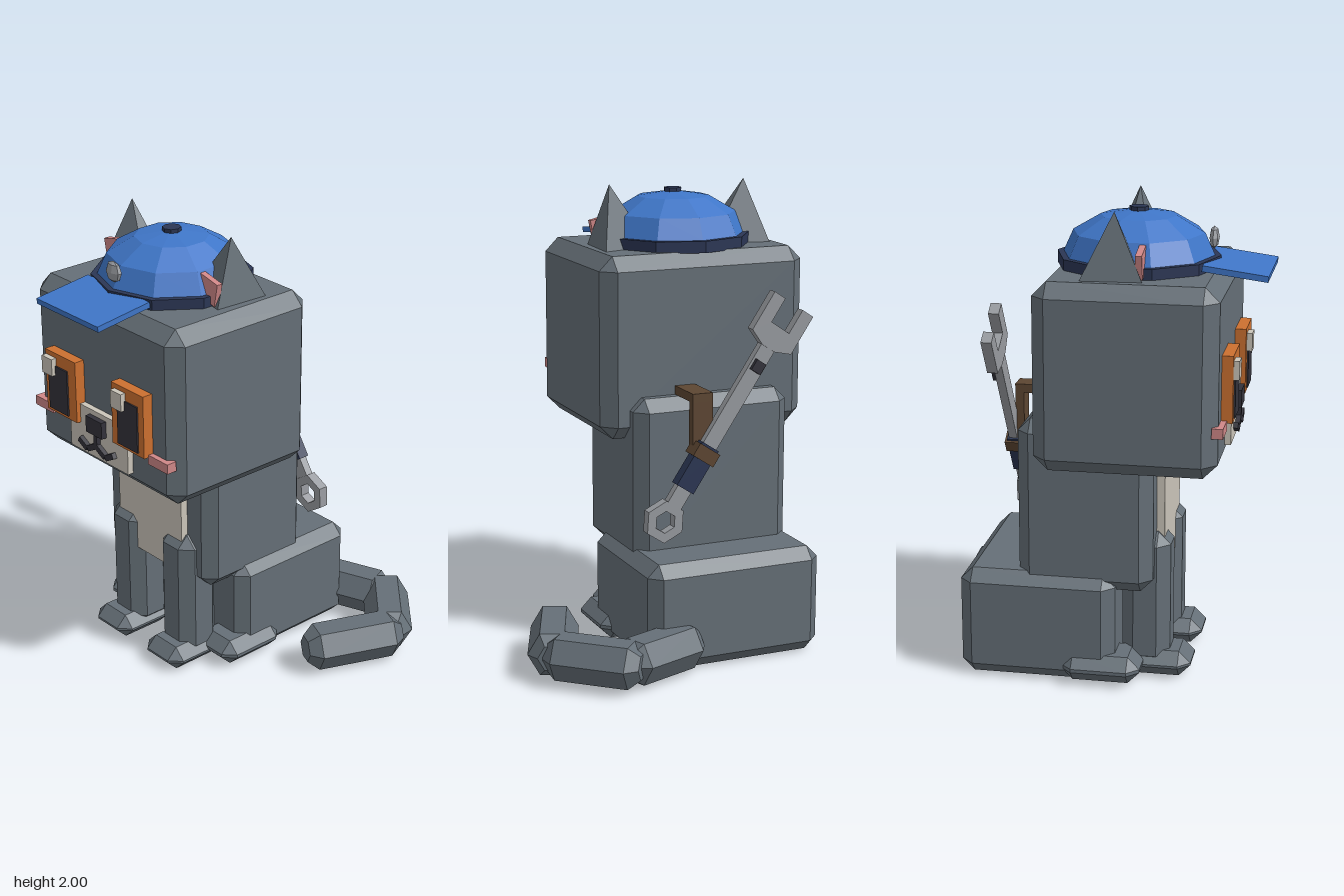
import * as THREE from 'three';
import { ConvexGeometry } from 'three/addons/geometries/ConvexGeometry.js';

const CX = -0.2; // the body's mirror plane

export function createModel() {
  const model = new THREE.Group();
  model.name = 'sittingCat';

  const mat = (name, color) => {
    const m = new THREE.MeshStandardMaterial({ color });
    m.name = name;
    return m;
  };
  const fur = mat('greyFur', 0x656f77);
  const cream = mat('cream', 0xcbc5ba);
  const orange = mat('orange', 0xcc7030);
  const dark = mat('nearBlack', 0x33323b);
  const pink = mat('pink', 0xcf8787);
  const blue = mat('capBlue', 0x3f76c8);
  const navy = mat('navy', 0x2b3654);
  const metal = mat('metal', 0x989ba0);
  const brown = mat('leather', 0x5d4632);

  const add = (name, geometry, material, parent = model) => {
    const mesh = new THREE.Mesh(geometry, material);
    mesh.name = name;
    parent.add(mesh);
    return mesh;
  };
  // Flat normals for low-poly round shapes
  const facet = (g) => {
    const f = g.index ? g.toNonIndexed() : g;
    f.computeVertexNormals();
    return f;
  };
  // Box given by its extents
  const block = (name, m, [x0, x1], [y0, y1], [z0, z1], parent) => {
    const mesh = add(name, new THREE.BoxGeometry(x1 - x0, y1 - y0, z1 - z0), m, parent);
    mesh.position.set((x0 + x1) / 2, (y0 + y1) / 2, (z0 + z1) / 2);
    return mesh;
  };
  // Box given by its extents, with every edge chamfered by c
  const chamferBlock = (name, m, [x0, x1], [y0, y1], [z0, z1], c) => {
    const h = [(x1 - x0) / 2, (y1 - y0) / 2, (z1 - z0) / 2];
    const points = [];
    for (const sx of [-1, 1]) for (const sy of [-1, 1]) for (const sz of [-1, 1]) {
      for (let axis = 0; axis < 3; axis++) {
        const p = h.map((v, i) => (i === axis ? v : v - c));
        points.push(new THREE.Vector3(sx * p[0], sy * p[1], sz * p[2]));
      }
    }
    const mesh = add(name, new ConvexGeometry(points), m);
    mesh.position.set((x0 + x1) / 2, (y0 + y1) / 2, (z0 + z1) / 2);
    return mesh;
  };
  // Extents mirrored about the body's plane
  const span = (side, a, b) => (side > 0 ? [CX + a, CX + b] : [CX - b, CX - a]);

  // Body
  chamferBlock('head', fur, [-0.673, 0.273], [0.945, 1.73], [-0.203, 0.553], 0.06);
  chamferBlock('torso', fur, [-0.56, 0.16], [0.4, 1.13], [-0.29, 0.278], 0.053);
  chamferBlock('haunches', fur, [-0.6, 0.2], [0.005, 0.475], [-0.535, 0.125], 0.052);
  block('bellyPatch', cream, [-0.415, 0.015], [0.455, 1.0], [0.26, 0.312]);

  for (const s of [-1, 1]) {
    const side = s > 0 ? 'left' : 'right';
    // Legs and feet
    chamferBlock(side + 'FrontLeg', fur, span(s, 0.068, 0.275), [0.04, 0.637], [0.135, 0.34], 0.053);
    chamferBlock(side + 'FrontPaw', fur, span(s, 0.06, 0.3), [0.005, 0.115], [0.13, 0.432], 0.05);
    chamferBlock(side + 'HindFoot', fur, span(s, 0.19, 0.438), [0.015, 0.13], [-0.1, 0.235], 0.05);

    // Ear: leaning four-sided pyramid
    const ear = [[0.32, 2.0, 0.115], [0.39, 1.72, -0.02], [0.14, 1.72, 0.06],
      [0.14, 1.72, 0.19], [0.375, 1.72, 0.24]];
    add(side + 'Ear', new ConvexGeometry(ear.map(([x, y, z]) =>
      new THREE.Vector3(CX + s * x, y, z))), fur);
    const inner = [[0.37, 1.835], [0.26, 1.86], [0.27, 1.755], [0.35, 1.735]];
    const innerShape = new THREE.Shape(inner.map(([x, y]) => new THREE.Vector2(CX + s * x, y)));
    add(side + 'InnerEar', new THREE.ExtrudeGeometry(innerShape,
      { depth: 0.027, bevelEnabled: false }), pink).position.z = 0.207;

    // Cheek and eye; both pupils and glints sit off-centre the same way
    block(side + 'Cheek', pink, span(s, 0.325, 0.45), [1.125, 1.168], [0.53, 0.577]);
    block(side + 'EyeFrame', orange, span(s, 0.122, 0.33), [1.157, 1.437], [0.54, 0.6]);
    const px = s > 0 ? -0.035 : -0.505;
    block(side + 'Pupil', dark, [px, px + 0.13], [1.172, 1.38], [0.598, 0.607]);
    block(side + 'EyeGlint', cream, [px - 0.02, px + 0.05], [1.337, 1.415], [0.6, 0.624]);

    // Mouth strokes
    const stroke = (name, x, y, length, angle) => {
      const m = add(side + name, new THREE.BoxGeometry(length, 0.026, 0.02), dark);
      m.position.set(CX + s * x, y, 0.59);
      m.rotation.z = s * angle;
    };
    stroke('MouthInner', 0.027, 1.077, 0.07, -0.5);
    stroke('MouthOuter', 0.09, 1.073, 0.06, 0.5);
  }

  // Muzzle
  block('muzzle', cream, [-0.395, -0.005], [1.025, 1.243], [0.54, 0.58]);
  block('nose', dark, [-0.255, -0.147], [1.145, 1.22], [0.57, 0.605]);
  block('mouthStem', dark, [-0.211, -0.189], [1.08, 1.15], [0.57, 0.6]);

  // Tail: three hexagonal segments with tapered ends
  const tail = [
    [[-0.01, -0.5], [0.36, -0.635]],
    [[0.305, -0.68], [0.615, -0.395]],
    [[0.617, -0.45], [0.445, -0.035]],
  ];
  tail.forEach(([[x0, z0], [x1, z1]], i) => {
    const h = Math.hypot(x1 - x0, z1 - z0) / 2;
    const profile = [[0, -h], [0.06, -h], [0.104, 0.05 - h], [0.104, h - 0.05], [0.06, h], [0, h]];
    const g = facet(new THREE.LatheGeometry(profile.map((p) => new THREE.Vector2(...p)), 6));
    g.rotateY(Math.PI / 2).rotateX(Math.PI / 2);
    const m = add('tailSegment' + (i + 1), g, fur);
    m.position.set((x0 + x1) / 2, 0.12, (z0 + z1) / 2);
    m.rotation.y = Math.atan2(x1 - x0, z1 - z0);
  });

  // Cap
  const cap = new THREE.Group();
  cap.name = 'cap';
  cap.position.set(CX, 0, 0.162);
  model.add(cap);
  const band = add('capBand', facet(new THREE.CylinderGeometry(0.343, 0.343, 0.05, 10)), navy, cap);
  band.position.y = 1.75;
  const dome = facet(new THREE.SphereGeometry(0.318, 10, 3, Math.PI / 2, Math.PI * 2, 0, Math.PI / 2));
  const crown = add('capCrown', dome, blue, cap);
  crown.scale.y = 0.187 / 0.318;
  crown.position.y = 1.772;
  add('capButton', facet(new THREE.CylinderGeometry(0.04, 0.04, 0.025, 8)), navy, cap)
    .position.y = 1.957;
  const visor = add('capVisor', new THREE.BoxGeometry(0.408, 0.025, 0.27), blue, cap);
  visor.position.set(0, 1.742, 0.423);
  visor.rotation.x = 0.13;
  const badge = add('capBadge', facet(new THREE.SphereGeometry(0.047, 7, 4)), metal, cap);
  badge.scale.z = 0.45;
  badge.position.set(0, 1.85, 0.312);

  // Spanner on the back; its own +y runs from the ring up to the jaw
  const spanner = new THREE.Group();
  spanner.name = 'spanner';
  spanner.position.set(0.09, 0.637, -0.397);
  spanner.rotation.z = 0.588;
  model.add(spanner);
  const plate = (name, shape) => {
    const g = new THREE.ExtrudeGeometry(shape, { depth: 0.045, bevelEnabled: false });
    return add(name, g.translate(0, 0, -0.0225), metal, spanner);
  };
  const hexagon = (r) => Array.from({ length: 6 }, (_, i) =>
    new THREE.Vector2(r * Math.cos(i * Math.PI / 3), r * Math.sin(i * Math.PI / 3)));
  const ring = new THREE.Shape(hexagon(0.092));
  ring.holes.push(new THREE.Path(hexagon(0.048)));
  plate('spannerRing', ring);
  const jaw = [[-0.035, 0.85], [0.035, 0.85], [0.11, 0.88], [0.11, 1.065], [0.05, 1.065],
    [0.05, 0.95], [-0.05, 0.95], [-0.05, 1.065], [-0.11, 1.065], [-0.11, 0.88]];
  plate('spannerJaw', new THREE.Shape(jaw.map((p) => new THREE.Vector2(...p))));
  block('spannerShaft', metal, [-0.036, 0.036], [0.075, 0.86], [-0.018, 0.018], spanner);
  block('spannerGrip', navy, [-0.045, 0.045], [0.16, 0.37], [-0.026, 0.026], spanner);
  block('spannerScrew', dark, [-0.025, 0.025], [0.735, 0.785], [-0.036, 0], spanner);
  block('gripClip', brown, [-0.055, 0.055], [0.3, 0.36], [-0.036, 0.045], spanner);

  // Strap holding the spanner
  block('strapTop', brown, [-0.142, -0.05], [1.13, 1.168], [-0.385, -0.15]);
  block('strapDrop', brown, [-0.142, -0.05], [0.89, 1.13], [-0.385, -0.347]);

  return model;
}
